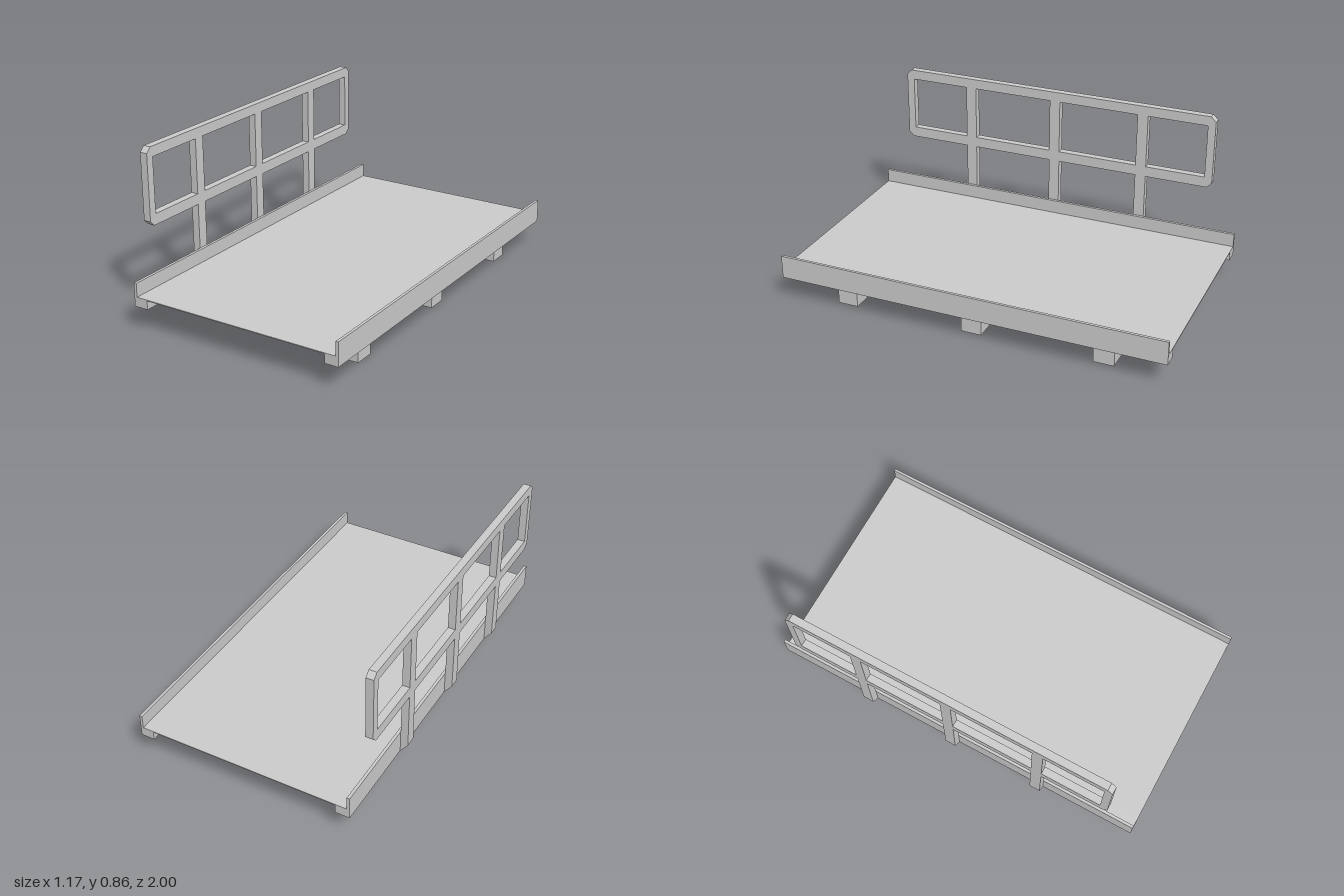
import * as THREE from 'three';

const material = new THREE.MeshStandardMaterial({ color: 0xcccccc, flatShading: true });

function add(group, name, geometry) {
  const mesh = new THREE.Mesh(geometry, material);
  mesh.name = name;
  group.add(mesh);
  return mesh;
}

// Box given by its minimum and maximum corners
function block(group, name, [x0, y0, z0], [x1, y1, z1]) {
  const mesh = add(group, name, new THREE.BoxGeometry(x1 - x0, y1 - y0, z1 - z0));
  mesh.position.set((x0 + x1) / 2, (y0 + y1) / 2, (z0 + z1) / 2);
}

function polygon(points) {
  return new THREE.Shape(points.map(([x, y]) => new THREE.Vector2(x, y)));
}

// Profile in x and y, extruded along z about a centre
function profileAlongZ(group, name, points, length, z = 0) {
  const geometry = new THREE.ExtrudeGeometry(polygon(points), { depth: length, bevelEnabled: false });
  geometry.translate(0, 0, z - length / 2);
  add(group, name, geometry);
}

export function createModel() {
  const model = new THREE.Group();
  model.name = 'rampPlatform';

  // Thin deck plate between the two curbs
  block(model, 'deckPlate', [-0.47, 0.165, -1], [0.512, 0.17, 1]);

  // L-shaped curbs along both long edges
  profileAlongZ(model, 'rightCurb', [
    [-0.545, 0.12], [-0.47, 0.12], [-0.47, 0.17], [-0.53, 0.17], [-0.53, 0.24], [-0.545, 0.24],
  ], 2);
  profileAlongZ(model, 'leftCurb', [
    [0.512, 0.12], [0.583, 0.12], [0.583, 0.24], [0.569, 0.24], [0.569, 0.17], [0.512, 0.17],
  ], 2);

  // Cross beams that carry the deck
  for (const z of [-0.675, 0, 0.675]) {
    block(model, 'crossBeam', [-0.47, 0, z - 0.0525], [0.512, 0.165, z + 0.0525]);
  }

  // Guard rail on the right side
  const railing = new THREE.Group();
  railing.name = 'railing';
  model.add(railing);
  const xOut = -0.584, xIn = -0.545;

  // Posts, with a slanted foot, in two pieces around the lower rail
  for (const z of [-0.48, 0, 0.48]) {
    profileAlongZ(railing, 'lowerPost', [
      [xOut, 0.17], [xIn, 0.12], [xIn, 0.472], [xOut, 0.472],
    ], 0.056, z);
    block(railing, 'upperPost', [xOut, 0.525, z - 0.028], [xIn, 0.806, z + 0.028]);
  }

  // Closed rail loop with chamfered corners
  const w = 0.86, c = 0.026, bottom = 0.47, top = 0.857;
  const loop = polygon([
    [-w + c, bottom], [w - c, bottom], [w, bottom + c], [w, top - c],
    [w - c, top], [-w + c, top], [-w, top - c], [-w, bottom + c],
  ]);
  loop.holes.push(polygon([[-0.82, 0.525], [-0.82, 0.806], [0.82, 0.806], [0.82, 0.525]]));
  const loopGeometry = new THREE.ExtrudeGeometry(loop, { depth: xIn - xOut, bevelEnabled: false });
  loopGeometry.rotateY(Math.PI / 2);
  loopGeometry.translate(xOut, 0, 0);
  add(railing, 'railLoop', loopGeometry);

  return model;
}
